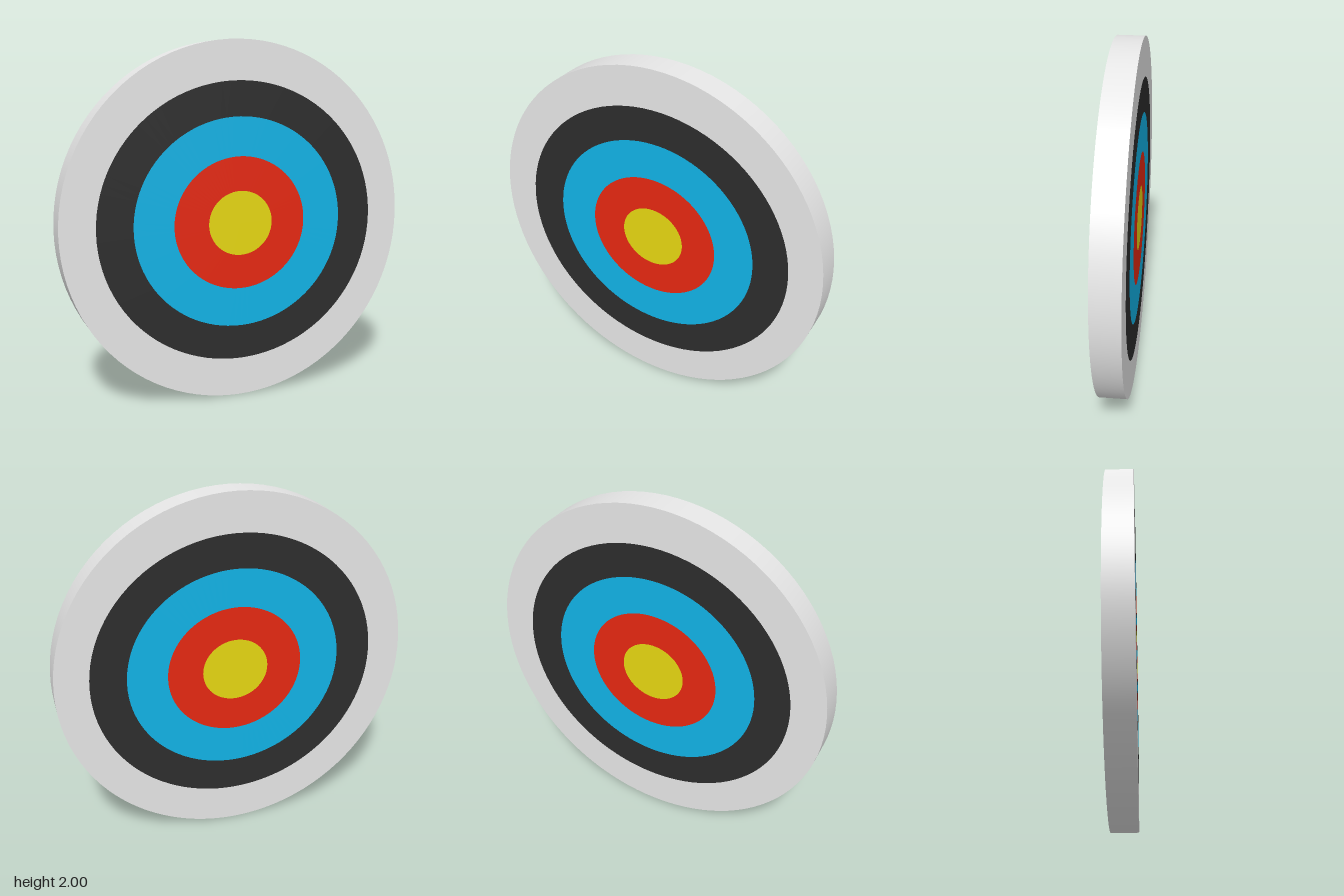
import * as THREE from 'three';

const paint = (name, color) => {
  const m = new THREE.MeshStandardMaterial({ color });
  m.name = name;
  return m;
};

export function createModel() {
  const model = new THREE.Group();
  model.name = 'archeryTarget';

  const white = paint('white', 0xfcfcfc);
  const rings = [
    // name, inner radius, outer radius, material
    ['blackRing', 0.61, 0.81, paint('black', 0x2d2d2d)],
    ['blueRing', 0.385, 0.61, paint('blue', 0x14c4fc)],
    ['redRing', 0.187, 0.385, paint('red', 0xfc2d14)],
    ['bullseye', 0, 0.187, paint('yellow', 0xfceb14)],
  ];
  const thickness = 0.152;

  // Whole target leans back very slightly
  const target = new THREE.Group();
  target.name = 'target';
  target.position.y = 1;
  target.rotation.x = -0.005;
  model.add(target);

  // Thick round board
  const board = new THREE.Mesh(new THREE.CylinderGeometry(1, 1, thickness, 96), white);
  board.name = 'board';
  board.rotation.x = Math.PI / 2;
  target.add(board);

  // Slightly oval painted rings on both faces
  for (const side of [1, -1]) {
    const face = new THREE.Group();
    face.name = side > 0 ? 'frontRings' : 'backRings';
    face.position.set(0.004, 0, side * (thickness / 2 + 0.002));
    face.rotation.y = side > 0 ? 0 : Math.PI;
    face.scale.y = 0.965;
    for (const [name, inner, outer, material] of rings) {
      const geometry = inner > 0
        ? new THREE.RingGeometry(inner, outer, 96)
        : new THREE.CircleGeometry(outer, 96);
      const ring = new THREE.Mesh(geometry, material);
      ring.name = name;
      face.add(ring);
    }
    target.add(face);
  }

  return model;
}
